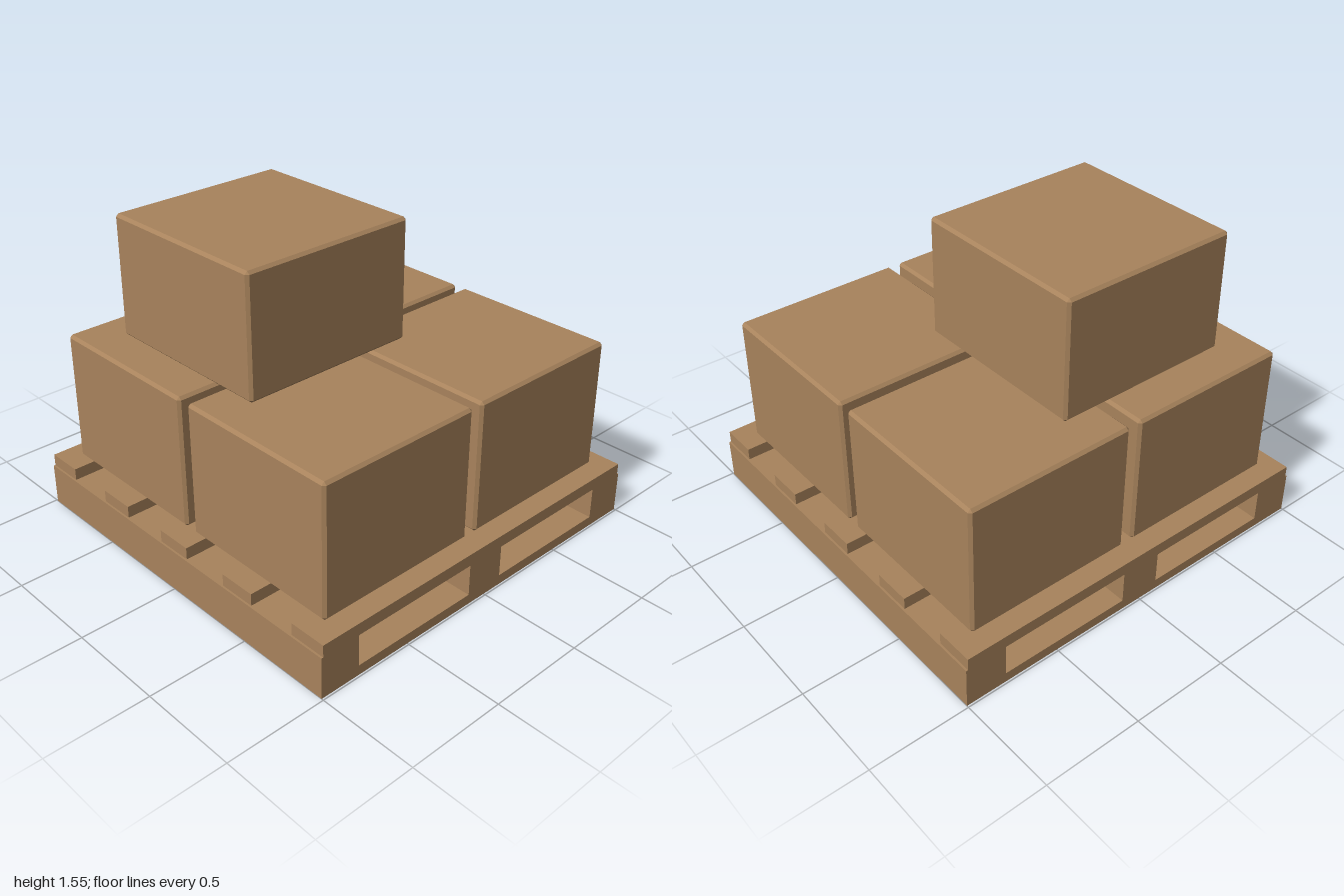
import * as THREE from 'three';
import { ConvexGeometry } from 'three/addons/geometries/ConvexGeometry.js';

// Box with narrow flat chamfers on every edge
function chamferBox(w, h, d, c) {
  const points = [];
  for (const sx of [-1, 1]) for (const sy of [-1, 1]) for (const sz of [-1, 1]) {
    const x = w / 2, y = h / 2, z = d / 2;
    points.push(
      new THREE.Vector3(sx * x, sy * (y - c), sz * (z - c)),
      new THREE.Vector3(sx * (x - c), sy * y, sz * (z - c)),
      new THREE.Vector3(sx * (x - c), sy * (y - c), sz * z),
    );
  }
  return new ConvexGeometry(points);
}

export function createModel() {
  const model = new THREE.Group();
  model.name = 'palletWithBoxes';
  const cardboard = new THREE.MeshStandardMaterial({ color: 0xa8835c });
  cardboard.name = 'cardboardBrown';

  function add(parent, name, geometry, x, y, z) {
    const mesh = new THREE.Mesh(geometry, cardboard);
    mesh.name = name;
    mesh.position.set(x, y, z);
    parent.add(mesh);
    return mesh;
  }

  const pallet = new THREE.Group();
  pallet.name = 'pallet';
  model.add(pallet);

  // Bottom frame: one flat board with four openings
  const outline = new THREE.Shape([
    new THREE.Vector2(-0.99, -1), new THREE.Vector2(0.99, -1),
    new THREE.Vector2(0.99, 1), new THREE.Vector2(-0.99, 1),
  ]);
  for (const sx of [-1, 1]) for (const sz of [-1, 1]) {
    outline.holes.push(new THREE.Path([
      new THREE.Vector2(sx * 0.1, sz * 0.105), new THREE.Vector2(sx * 0.8, sz * 0.105),
      new THREE.Vector2(sx * 0.8, sz * 0.79), new THREE.Vector2(sx * 0.1, sz * 0.79),
    ]));
  }
  const frame = new THREE.ExtrudeGeometry(outline, { depth: 0.05, bevelEnabled: false });
  frame.rotateX(-Math.PI / 2);
  add(pallet, 'bottomFrame', frame, 0, 0, 0);

  // Three bearers running from side to side
  for (const z of [-0.895, 0, 0.895]) {
    add(pallet, 'bearer', new THREE.BoxGeometry(1.98, 0.16, 0.21), 0, 0.13, z);
  }

  // Five deck slats running front to back
  for (let i = -2; i <= 2; i++) {
    add(pallet, 'deckSlat', new THREE.BoxGeometry(0.19, 0.06, 1.98), i * 0.4475, 0.24, 0);
  }

  // Four boxes on the pallet
  for (const x of [-0.46, 0.46]) for (const z of [-0.46, 0.46]) {
    add(model, 'lowerBox', chamferBox(0.865, 0.668, 0.865, 0.014), x, 0.606, z);
  }

  // One box on top, shifted towards the front
  add(model, 'topBox', chamferBox(0.935, 0.608, 0.935, 0.014), -0.235, 1.248, 0.235);

  return model;
}
